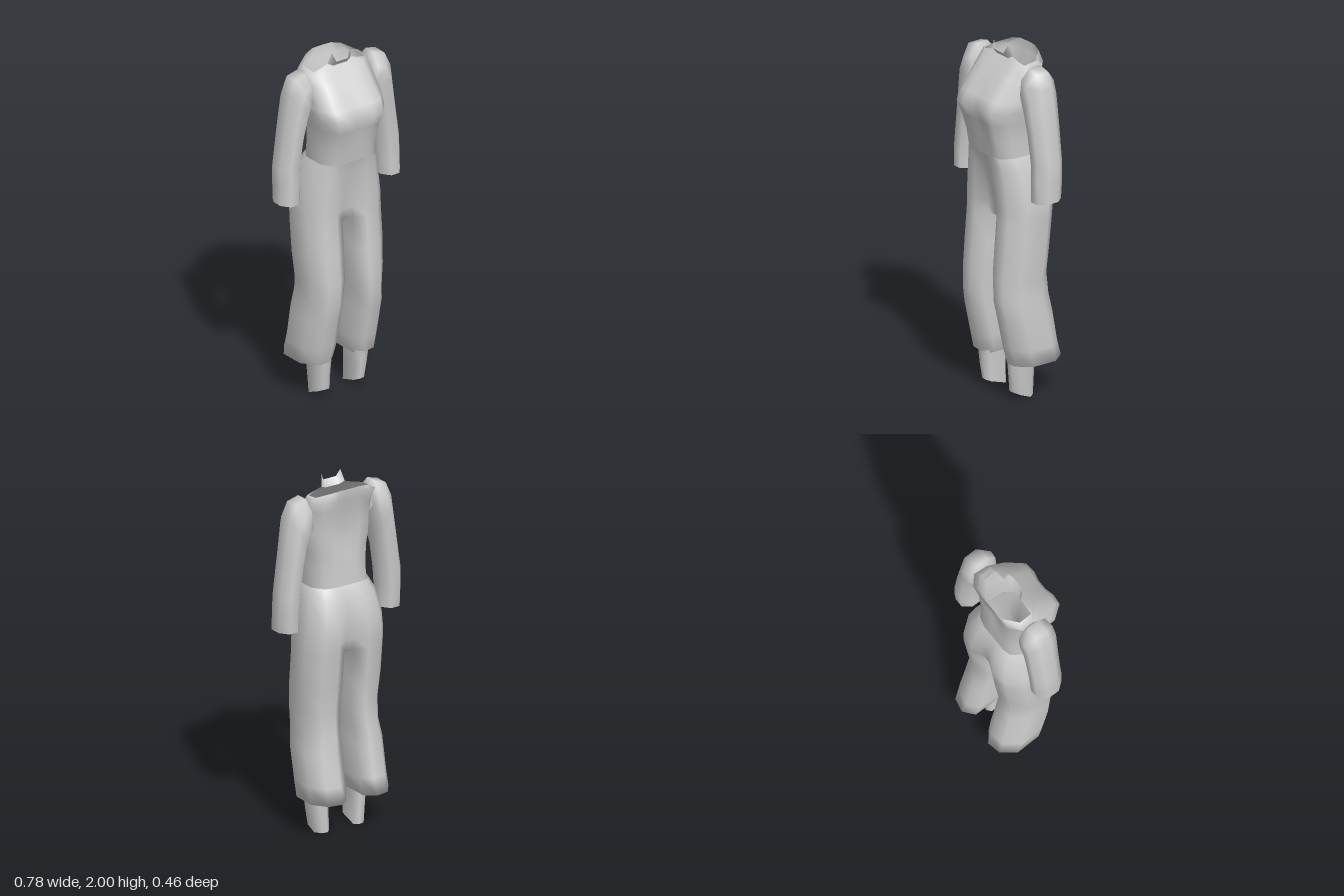
import * as THREE from 'three';
import { mergeVertices } from 'three/addons/utils/BufferGeometryUtils.js';

const cloth = new THREE.MeshStandardMaterial({ color: 0xcccccc, side: THREE.DoubleSide });
cloth.name = 'grey cloth';

const mirror = (ring) => ring.map(([x, y, z]) => [-x, y, z]).reverse();
const fullRing = (half) => [...half, ...mirror(half)];

// Half cross-section running front, outer side, back; closed on itself it is a leg
function section([y, xi, xo, zf, zb, inset = 0.15]) {
  const xs = [0, 0.3, 0.65, 0.97, 1, 0.7, 0.3, 0];
  const ts = [inset, 0, 0.02, 0.25, 0.7, 0.95, 1, 1 - inset];
  return xs.map((u, i) => [xi + (xo - xi) * u, y, zf + (zb - zf) * ts[i]]);
}

// Joins closed rings, listed from top to bottom, into triangles
function loft(rings, out = []) {
  for (let r = 0; r + 1 < rings.length; r++) {
    const a = rings[r], b = rings[r + 1], n = a.length;
    for (let k = 0; k < n; k++) {
      const j = (k + 1) % n;
      out.push(a[k], b[k], b[j], a[k], b[j], a[j]);
    }
  }
  return out;
}

// Welds triangles into one smooth mesh
function skin(name, triangles) {
  let g = new THREE.BufferGeometry();
  g.setAttribute('position', new THREE.Float32BufferAttribute(triangles.flat(), 3));
  g = mergeVertices(g, 1e-4);
  g.computeVertexNormals();
  const mesh = new THREE.Mesh(g, cloth);
  mesh.name = name;
  return mesh;
}

function makeTorso() {
  const neck = [
    [0.045, 1.92, 0.03], [0.075, 1.935, 0.02], [0.12, 1.92, 0.02], [0.165, 1.91, 0.02],
    [0.17, 1.92, -0.06], [0.11, 1.95, -0.125], [0.06, 1.96, -0.138], [0.03, 1.96, -0.14],
  ];
  const rings = [
    [1.9, 0.03, 0.2, 0.05, -0.135, 0],
    [1.84, 0.03, 0.2, 0.105, -0.11, 0],
    [1.73, 0.03, 0.208, 0.2, -0.1, 0.02],
    [1.67, 0.03, 0.206, 0.233, -0.1, 0.04],
    [1.6, 0.03, 0.187, 0.208, -0.1, 0.03],
    [1.5, 0.03, 0.178, 0.178, -0.1, 0],
    [1.39, 0.03, 0.18, 0.158, -0.105, 0],
  ].map(section);
  return skin('torso', loft([neck, ...rings].map(fullRing)));
}

// Small flared stand at the throat with two pointed tips
function makeCollar() {
  const base = [0.045, 1.92, 0.03], top = [0.045, 1.955, 0.06];
  const tip = [0.06, 2.0, 0.04], side = [0.075, 1.935, 0.02];
  const flip = ([x, y, z]) => [-x, y, z];
  return skin('collar', [
    flip(base), base, top, flip(base), top, flip(top),
    base, side, tip, base, tip, top,
    flip(base), flip(tip), flip(side), flip(base), flip(top), flip(tip),
  ]);
}

function makeTrousers() {
  const hips = [
    [1.4, 0.03, 0.18, 0.165, -0.11, 0],
    [1.33, 0.03, 0.21, 0.15, -0.155, 0.02],
    [1.2, 0.03, 0.238, 0.142, -0.185, 0.07],
    [1.1, 0.03, 0.25, 0.14, -0.18, 0.12],
    [1.03, 0.03, 0.25, 0.14, -0.175],
  ].map(section);
  const crotch = hips[hips.length - 1];
  const leg = [crotch, ...[
    [0.85, 0.03, 0.25, 0.155, -0.155],
    [0.7, 0.035, 0.24, 0.17, -0.14],
    [0.58, 0.045, 0.235, 0.17, -0.155],
    [0.48, 0.045, 0.25, 0.15, -0.172],
    [0.3, 0.045, 0.25, 0.11, -0.205],
    [0.21, 0.055, 0.25, 0.088, -0.228],
    [0.195, 0.08, 0.18, 0.07, -0.07],
  ].map(section)];
  const tris = loft(hips.map(fullRing));
  loft(leg, tris);
  loft(leg.map(mirror), tris);
  // Strip between the legs
  const f = crotch[0], b = crotch[7], [b2, f2] = [mirror([b])[0], mirror([f])[0]];
  tris.push(f, f2, b2, f, b2, b);
  return skin('trousers', tris);
}

// Narrow ankle cuff, open and cut higher at the front
function makeAnkle() {
  const rings = [
    [0.24, 0.075, 0.185, 0.085, -0.075],
    [0.12, 0.08, 0.172, 0.075, -0.075],
    [0, 0.078, 0.16, 0.065, -0.075],
  ].map(section);
  rings[2].forEach((p) => { p[1] = Math.max(0, Math.min(0.04, (p[2] + 0.02) * 0.5)); });
  return skin('ankleCuff', loft(rings));
}

// Sleeve rings: underarm point, outer point, front z, back z
function makeSleeve() {
  const rings = [
    [0.198, 1.76, 0.2, 1.88, 0.03, -0.06],
    [0.2, 1.71, 0.222, 1.92, 0.075, -0.095],
    [0.207, 1.67, 0.29, 1.9, 0.085, -0.105],
    [0.217, 1.63, 0.328, 1.82, 0.085, -0.1],
    [0.238, 1.54, 0.358, 1.61, 0.077, -0.098],
    [0.256, 1.4, 0.388, 1.4, 0.072, -0.095],
    [0.265, 1.3, 0.39, 1.3, 0.077, -0.093],
    [0.265, 1.19, 0.39, 1.19, 0.078, -0.085],
  ].map(([xi, yi, xo, yo, zf, zb]) => Array.from({ length: 8 }, (_, i) => {
    const a = (i + 0.5) * Math.PI / 4, k = 0.5 / Math.cos(Math.PI / 8);
    const u = 0.5 + Math.sin(a) * k, w = 0.5 + Math.cos(a) * k;
    return [xi + (xo - xi) * u, yi + (yo - yi) * u, zb + (zf - zb) * w];
  }));
  return skin('sleeve', loft(rings));
}

export function createModel() {
  const suit = new THREE.Group();
  suit.name = 'jumpsuit';
  suit.add(makeTorso(), makeCollar(), makeTrousers());
  for (const [side, s] of [['left', 1], ['right', -1]]) {
    const limbs = new THREE.Group();
    limbs.name = side + 'SleeveAndCuff';
    limbs.scale.x = s;
    limbs.add(makeSleeve(), makeAnkle());
    suit.add(limbs);
  }
  return suit;
}
